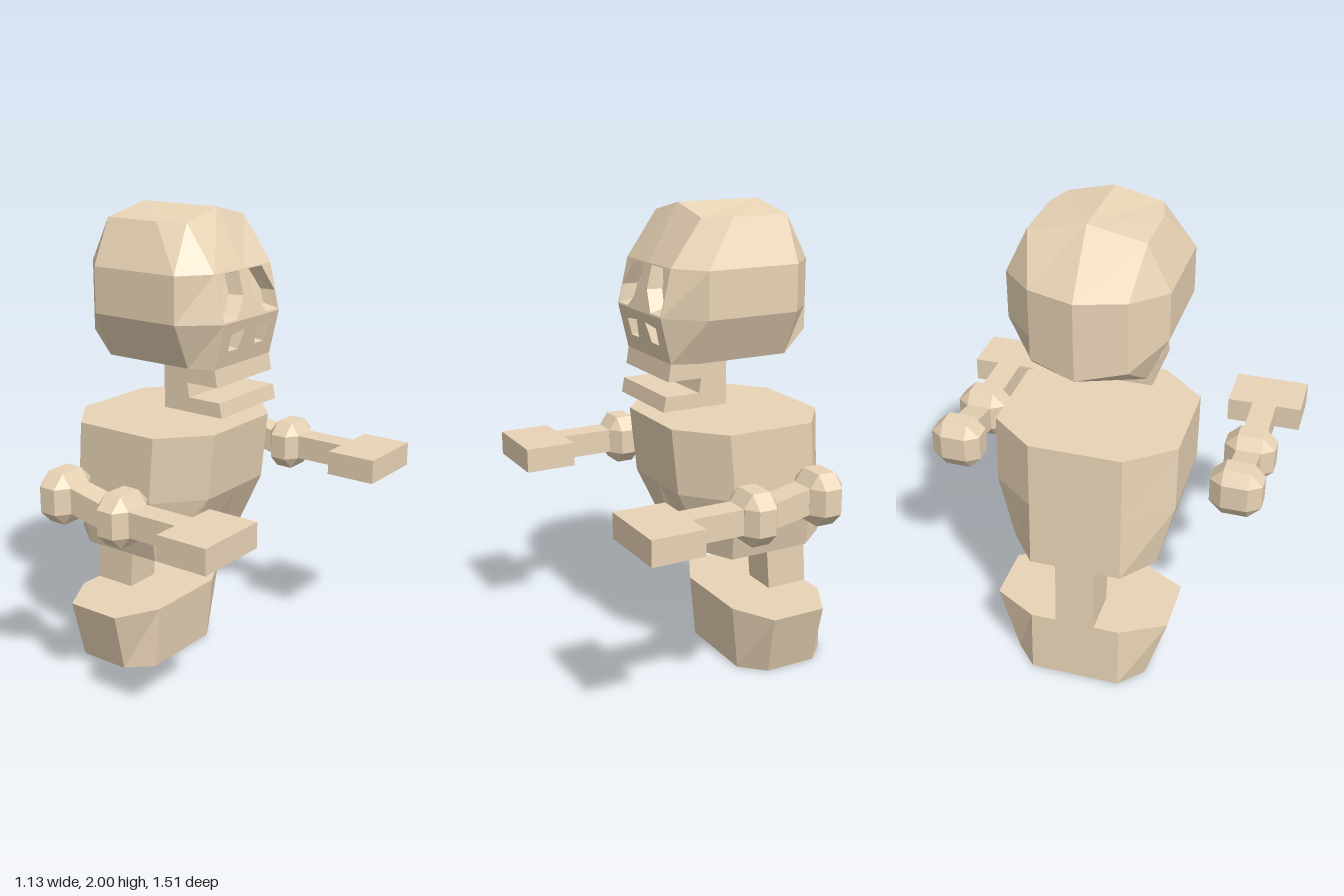
import * as THREE from 'three';
import { ConvexGeometry } from 'three/addons/geometries/ConvexGeometry.js';

const bone = new THREE.MeshStandardMaterial({ color: 0xe8d3b5, flatShading: true });

function part(name, geometry, parent) {
  const mesh = new THREE.Mesh(geometry, bone);
  mesh.name = name;
  parent.add(mesh);
  return mesh;
}

// Closed ring from the +z half of a cross-section
const ring = (half) => [...half, ...half.map(([x, y, z]) => [x, y, -z]).reverse()];

// Faceted skin over a stack of rings, with end caps; skip(level, i) leaves openings
function loft(rings, { capStart = true, capEnd = true, skip = () => false } = {}) {
  const out = [];
  const v = (p) => new THREE.Vector3(...p);
  const tri = (a, b, c) => {
    const area = v(b).sub(v(a)).cross(v(c).sub(v(a))).length();
    if (area > 1e-7) out.push(...a, ...b, ...c);
  };
  const n = rings[0].length;
  for (let r = 0; r < rings.length - 1; r++) {
    for (let i = 0; i < n; i++) {
      if (skip(r, i)) continue;
      const j = (i + 1) % n, lo = rings[r], hi = rings[r + 1];
      tri(lo[i], lo[j], hi[j]);
      tri(lo[i], hi[j], hi[i]);
    }
  }
  const first = rings[0], last = rings[rings.length - 1];
  for (let i = 1; i < n - 1; i++) {
    if (capStart) tri(first[0], first[i + 1], first[i]);
    if (capEnd) tri(last[0], last[i], last[i + 1]);
  }
  const g = new THREE.BufferGeometry();
  g.setAttribute('position', new THREE.Float32BufferAttribute(out, 3));
  g.computeVertexNormals();
  return g;
}

// The face bulges forward at cheek height
const faceX = (y) => 0.23 - 0.24 * Math.abs(y - 1.58);

// Flat strip of the face with holes cut in it
function facePanel(y0, y1, holes) {
  const s = new THREE.Shape([[-0.19, y0], [0.19, y0], [0.19, y1], [-0.19, y1]].map((p) => new THREE.Vector2(...p)));
  for (const side of [1, -1]) {
    s.holes.push(new THREE.Path(holes.map(([z, y]) => new THREE.Vector2(-z * side, y))));
  }
  const g = new THREE.ShapeGeometry(s).toNonIndexed();
  const p = g.attributes.position;
  for (let i = 0; i < p.count; i++) p.setXYZ(i, faceX(p.getY(i)), p.getY(i), -p.getX(i));
  g.computeVertexNormals();
  return g;
}

// Tapered pit behind a hole in the face
function socket(hole, side, depth) {
  const pts = side > 0 ? hole : hole.map(([z, y]) => [-z, y]).reverse();
  const cz = pts.reduce((s, p) => s + p[0], 0) / pts.length;
  const cy = pts.reduce((s, p) => s + p[1], 0) / pts.length;
  const outer = pts.map(([z, y]) => [faceX(y), y, z]);
  const inner = pts.map(([z, y]) => [faceX(y) - depth, cy + (y - cy) * 0.8, cz + (z - cz) * 0.8]);
  return loft([inner, outer], { capEnd: false });
}

function buildHead() {
  const head = new THREE.Group();
  head.name = 'head';
  const back = [[-0.495, 0], [-0.435, 0.19], [-0.315, 0.315], [0.085, 0.315]];
  const level = (y) => ring([...back.map(([x, z]) => [x, y, z]), [faceX(y), y, 0.19], [faceX(y), y, 0]]);
  const rings = [
    ring([[-0.495, 1.45, 0], [-0.435, 1.48, 0.19], [-0.315, 1.395, 0.23], [0.085, 1.395, 0.23],
      [faceX(1.395), 1.395, 0.19], [faceX(1.395), 1.395, 0]]),
    level(1.58),
    level(1.77),
    ring([[-0.315, 2, 0], [-0.315, 1.955, 0.225], [-0.315, 1.955, 0.225], [-0.07, 1.955, 0.225],
      [0.052, 1.955, 0.19], [0.052, 2, 0]]),
  ];
  part('skull', loft(rings, { skip: (r, i) => r < 2 && i >= 4 && i <= 6 }), head);

  const eye = [[0.125, 1.765], [0.032, 1.765], [0.032, 1.67], [0.1, 1.587], [0.185, 1.587], [0.185, 1.66]];
  const nostril = [[0.126, 1.53], [0.037, 1.54], [0.058, 1.46], [0.122, 1.46]];
  part('upperFace', facePanel(1.58, 1.77, eye), head);
  part('lowerFace', facePanel(1.395, 1.58, nostril), head);
  for (const side of [1, -1]) {
    part('eyeSocket', socket(eye, side, 0.06), head);
    part('noseHole', socket(nostril, side, 0.05), head);
  }

  // Jaw block with the open mouth as a slot
  const jaw = new THREE.Shape([[-0.065, 1.205], [0.22, 1.205], [0.208, 1.265], [0.06, 1.265],
    [0.05, 1.325], [0.197, 1.325], [0.185, 1.4], [-0.065, 1.4]].map((p) => new THREE.Vector2(...p)));
  part('jaw', new THREE.ExtrudeGeometry(jaw, { depth: 0.38, bevelEnabled: false }).translate(0, 0, -0.19), head);
  return head;
}

function buildBody() {
  const body = new THREE.Group();
  body.name = 'body';
  // Rib cage with a wedge cut up into the lower front
  part('ribCage', loft([
    ring([[-0.535, 0.57, 0.19], [-0.395, 0.57, 0.305], [-0.035, 0.57, 0.305], [0.02, 0.57, 0.19],
      [0.02, 0.57, 0.09], [-0.1, 0.57, 0]]),
    ring([[-0.52, 0.85, 0.19], [-0.38, 0.85, 0.375], [-0.005, 0.85, 0.375], [0.155, 0.85, 0.19],
      [0.155, 0.85, 0], [0.155, 0.85, 0]]),
    ring([[-0.505, 1.13, 0.19], [-0.36, 1.13, 0.375], [0.02, 1.13, 0.375], [0.185, 1.13, 0.19],
      [0.185, 1.13, 0], [0.185, 1.13, 0]]),
  ]), body);
  part('spine', loft([
    ring([[-0.55, 0.285, 0.083], [-0.36, 0.285, 0.083]]),
    ring([[-0.535, 0.57, 0.083], [-0.338, 0.57, 0.083]]),
  ]), body);
  part('pelvis', loft([
    ring([[-0.565, 0, 0.19], [-0.465, 0, 0.285], [-0.235, 0, 0.285], [-0.135, 0, 0.19]]),
    ring([[-0.55, 0.285, 0.19], [-0.45, 0.285, 0.375], [-0.205, 0.285, 0.375], [-0.107, 0.285, 0.19]]),
  ]), body);
  return body;
}

// Chamfered block used for the joints
function jointGeometry() {
  const pts = [];
  for (const x of [-1, 1]) for (const y of [-1, 1]) for (const z of [-1, 1]) {
    pts.push(new THREE.Vector3(x * 0.037, y * 0.106, z * 0.053));
    pts.push(new THREE.Vector3(x * 0.037, y * 0.053, z * 0.106));
    pts.push(new THREE.Vector3(x * 0.074, y * 0.053, z * 0.053));
  }
  return new ConvexGeometry(pts);
}

function buildArm(side) {
  const arm = new THREE.Group();
  arm.name = side > 0 ? 'leftArm' : 'rightArm';
  part('shoulder', jointGeometry(), arm).position.set(-0.249, 0.906, 0);
  part('elbow', jointGeometry(), arm).position.set(0.046, 0.876, 0);
  const upper = part('upperArm', new THREE.BoxGeometry(0.17, 0.104, 0.104), arm);
  upper.position.set(-0.102, 0.892, 0);
  upper.rotation.z = -0.2;
  part('forearm', new THREE.BoxGeometry(0.24, 0.104, 0.104), arm).position.set(0.222, 0.877, 0);
  part('hand', new THREE.BoxGeometry(0.22, 0.104, 0.318), arm).position.set(0.452, 0.877, 0);
  arm.position.z = side * 0.594;
  return arm;
}

export function createModel() {
  const model = new THREE.Group();
  model.name = 'skeletonFigure';
  model.add(buildHead(), buildBody(), buildArm(1), buildArm(-1));
  return model;
}
